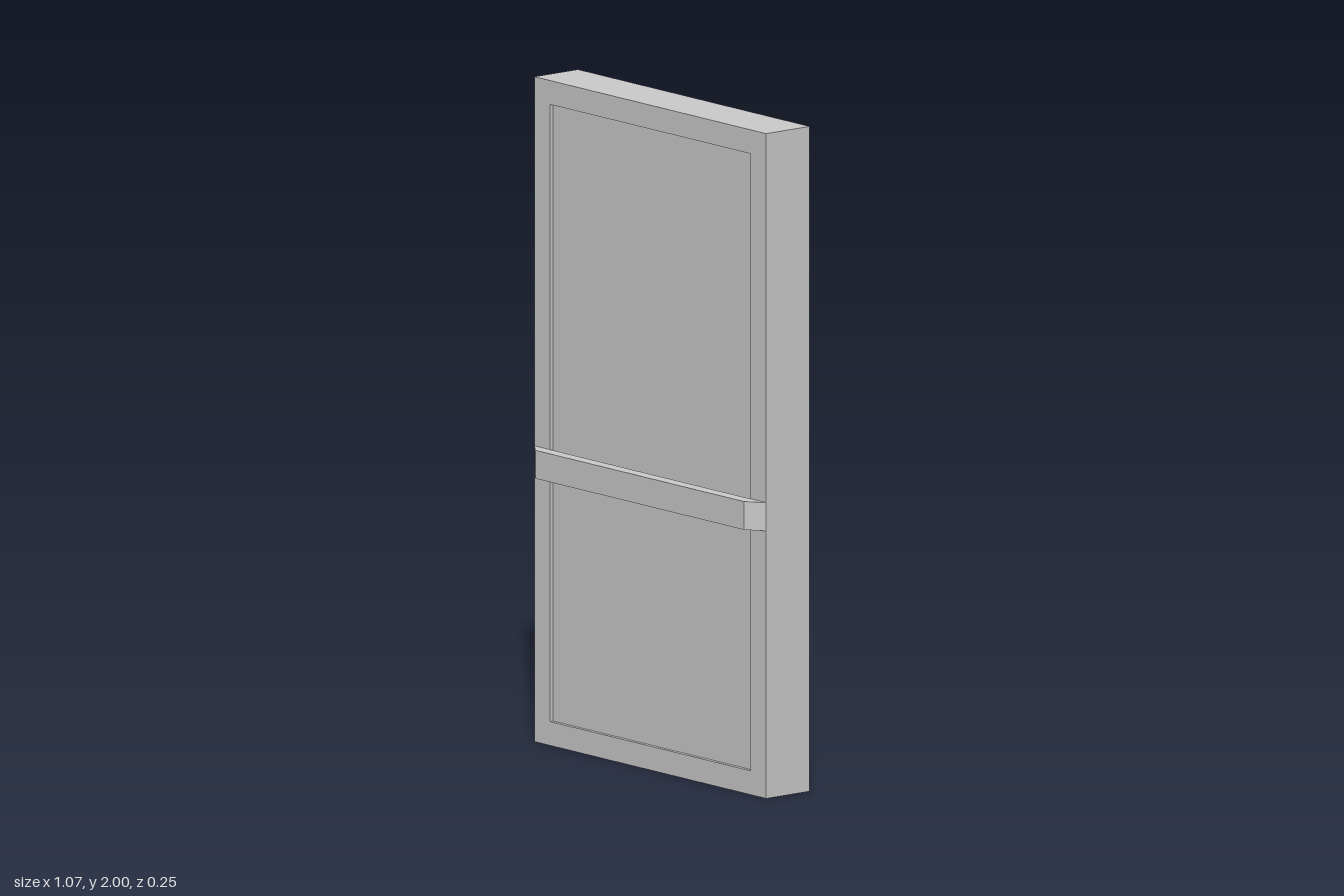
import * as THREE from 'three';

const W = 1.074, H = 2, D = 0.166; // door slab
const INSET = 0.072, RECESS = 0.012; // border width and panel depth
const BAR_Y = 0.805, BAR_H = 0.085, BAR_OUT = 0.04, BAR_BEVEL = 0.053;

const material = new THREE.MeshStandardMaterial({ color: 0xcccccc, flatShading: true });

function part(name, geometry) {
  const mesh = new THREE.Mesh(geometry, material);
  mesh.name = name;
  return mesh;
}

function polygon(points) {
  return points.map(([x, y]) => new THREE.Vector2(x, y));
}

function rectangle(w, y0, y1) {
  return polygon([[-w, y0], [w, y0], [w, y1], [-w, y1]]);
}

export function createModel() {
  const door = new THREE.Group();
  door.name = 'door';

  // Border running round the whole door
  const border = new THREE.Shape(rectangle(W / 2, 0, H));
  border.holes.push(new THREE.Path(rectangle(W / 2 - INSET, INSET, H - INSET).reverse()));
  const frame = new THREE.ExtrudeGeometry(border, { depth: D, bevelEnabled: false });
  frame.translate(0, 0, -D / 2);
  door.add(part('frame', frame));

  // Slightly sunken panel, seen from both faces
  const panel = new THREE.BoxGeometry(W - 2 * INSET, H - 2 * INSET, D - 2 * RECESS);
  panel.translate(0, H / 2, 0);
  door.add(part('panel', panel));

  // Push bars with slanted ends, one on each face
  const plan = new THREE.Shape(polygon([
    [-W / 2, 0], [W / 2, 0], [W / 2 - BAR_BEVEL, -BAR_OUT], [-W / 2 + BAR_BEVEL, -BAR_OUT],
  ]));
  const bar = new THREE.ExtrudeGeometry(plan, { depth: BAR_H, bevelEnabled: false });
  bar.rotateX(-Math.PI / 2).translate(0, BAR_Y, D / 2);
  for (const [name, turn] of [['frontPushBar', 0], ['backPushBar', Math.PI]]) {
    const mesh = part(name, bar);
    mesh.rotation.y = turn;
    door.add(mesh);
  }

  return door;
}
